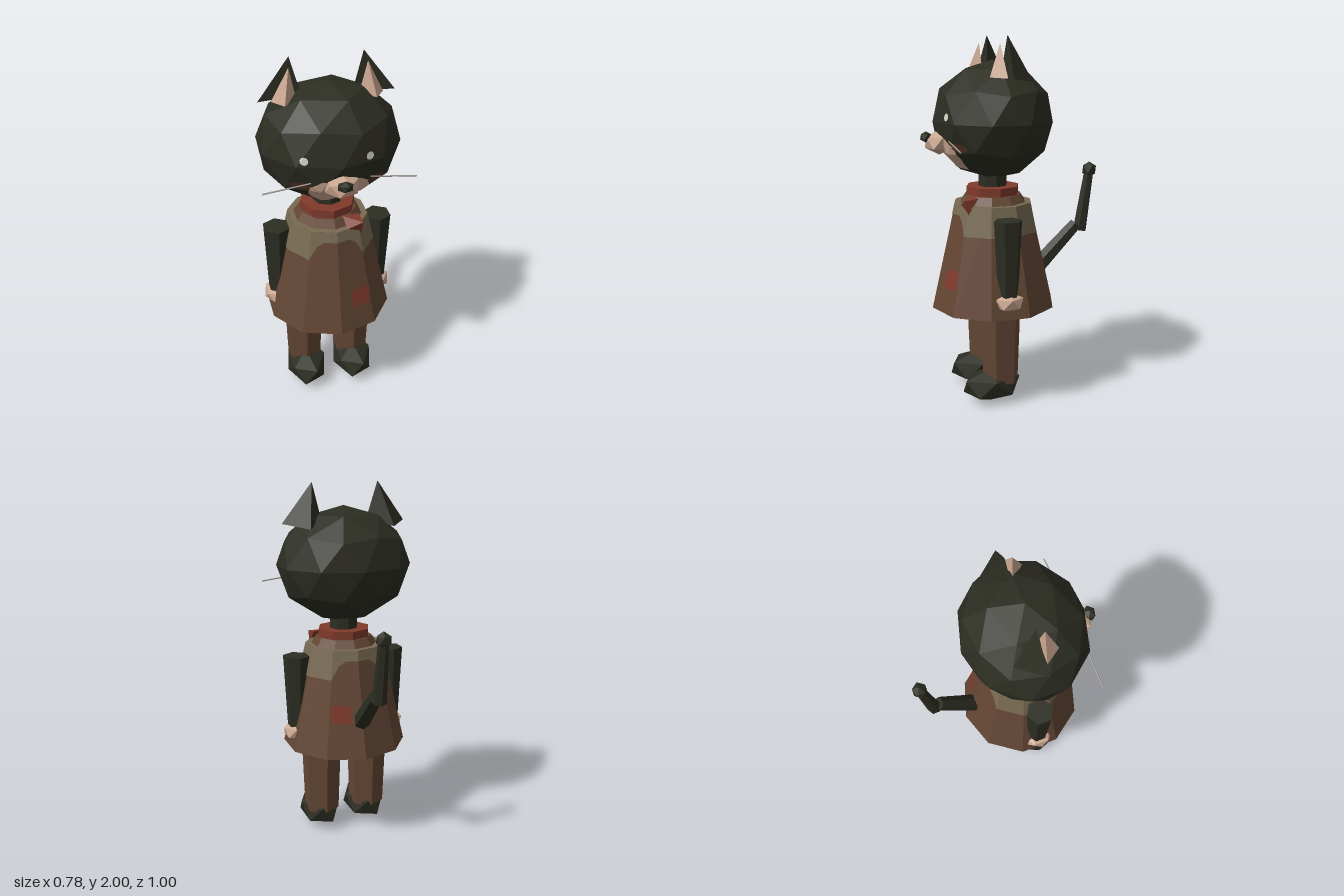
import * as THREE from 'three';
import { ConvexGeometry } from 'three/addons/geometries/ConvexGeometry.js';

const paint = (name, color, side = THREE.FrontSide) => {
  const m = new THREE.MeshStandardMaterial({ color, flatShading: true, side });
  m.name = name;
  return m;
};

const CZ = 0.11; // depth of the body axis

export function createModel() {
  const group = new THREE.Group();
  const fur = paint('dark fur', 0x2c2d22);
  const skin = paint('pale skin', 0xcba790, THREE.DoubleSide);
  const cloth = paint('brown cloth', 0x634634);
  const tan = paint('tan cloth', 0x776a52, THREE.DoubleSide);
  const red = paint('red cloth', 0x803a2b, THREE.DoubleSide);
  const cheek = paint('cheek brown', 0x553022, THREE.DoubleSide);
  const eyeWhite = paint('eye cream', 0xd0d2c0, THREE.DoubleSide);
  const whiskerGrey = paint('whisker grey', 0x9b9b90);

  const add = (name, geometry, material, x = 0, y = 0, z = 0) => {
    const mesh = new THREE.Mesh(geometry, material);
    mesh.name = name;
    mesh.position.set(x, y, z);
    group.add(mesh);
    return mesh;
  };

  // Faceted ball with a vertex at each pole
  const ball = (name, material, [x, y, z], [rx, ry, rz], detail = 0) => {
    const g = new THREE.IcosahedronGeometry(1, detail);
    g.rotateX(-Math.atan2(0.8507, 0.5257)).rotateY(Math.PI / 2).scale(rx, ry, rz);
    g.computeVertexNormals();
    return add(name, g, material, x, y, z);
  };

  // Upright tapered prism between two heights
  const prism = (name, material, x, z, y0, y1, r0, r1, sides) =>
    add(name, new THREE.CylinderGeometry(r1, r0, y1 - y0, sides), material, x, (y0 + y1) / 2, z);

  // Tapered rod between two points
  const rod = (name, material, a, b, ra, rb, sides = 6) => {
    const p = new THREE.Vector3(...a), q = new THREE.Vector3(...b);
    const d = q.clone().sub(p);
    const mesh = add(name, new THREE.CylinderGeometry(rb, ra, d.length(), sides), material);
    mesh.position.copy(p).add(q).multiplyScalar(0.5);
    mesh.quaternion.setFromUnitVectors(new THREE.Vector3(0, 1, 0), d.normalize());
    return mesh;
  };

  // Sheet of quads from a function of u and v
  const sheet = (name, material, nu, nv, fn) => {
    const pos = [];
    const put = (i, j) => pos.push(...fn(i / nu, j / nv));
    for (let i = 0; i < nu; i++) {
      for (let j = 0; j < nv; j++) {
        put(i, j); put(i + 1, j); put(i + 1, j + 1);
        put(i, j); put(i + 1, j + 1); put(i, j + 1);
      }
    }
    const g = new THREE.BufferGeometry();
    g.setAttribute('position', new THREE.Float32BufferAttribute(pos, 3));
    g.computeVertexNormals();
    return add(name, g, material);
  };

  // Painted patch laid on a mesh from the front (1) or the back (-1)
  const ray = new THREE.Raycaster();
  const patch = (name, material, target, nu, nv, outline, dir = 1) => {
    target.updateMatrixWorld(true);
    return sheet(name, material, nu, nv, (u, v) => {
      const [x, y] = outline(dir > 0 ? u : 1 - u, v);
      ray.set(new THREE.Vector3(x, y, 3 * dir), new THREE.Vector3(0, 0, -dir));
      const hit = ray.intersectObject(target)[0];
      return [x, y, (hit ? hit.point.z : CZ) + 0.005 * dir];
    });
  };
  const oval = (cx, cy, rx, ry) => (u, v) => {
    const t = (v - 0.5) * Math.PI;
    return [cx + (2 * u - 1) * rx * Math.cos(t), cy + ry * Math.sin(t)];
  };
  const rect = (x0, x1, y0, y1) => (u, v) => [x0 + (x1 - x0) * u, y0 + (y1 - y0) * v];

  // Head, muzzle and nose
  const head = ball('head', fur, [0, 1.555, CZ], [0.374, 0.318, 0.328], 1);
  ball('muzzle', skin, [0, 1.445, 0.405], [0.095, 0.066, 0.085]);
  ball('nose', fur, [0, 1.475, 0.475], [0.043, 0.03, 0.034]);

  // Pale chin, with its half width given at even steps of height
  const widths = [0.08, 0.125, 0.148, 0.155, 0.15, 0.1];
  patch('chinPatch', skin, head, 24, 20, (u, v) => {
    const k = Math.min(Math.floor(v * 5), 4);
    const w = THREE.MathUtils.lerp(widths[k], widths[k + 1], v * 5 - k);
    return [(2 * u - 1) * w, 1.3 + 0.17 * v];
  });

  // Coat, legs' cover and collar
  const Y0 = 0.53, Y1 = 1.11, R0 = 0.348, R1 = 0.213;
  const coat = prism('coat', cloth, 0, CZ, Y0, Y1, R0, R1, 10);
  prism('collar', cloth, 0, CZ, 1.11, 1.155, 0.185, 0.155, 10);

  // Tan shoulder yoke that follows the ten coat panels, notched front and back
  const coatPoint = (theta, y, off) => {
    const step = Math.PI / 5;
    const local = theta - Math.floor(theta / step + 1e-6) * step - step / 2;
    const r = (R0 + (R1 - R0) * (y - Y0) / (Y1 - Y0)) * Math.cos(step / 2) / Math.cos(local) + off;
    return [r * Math.sin(theta), y, CZ + r * Math.cos(theta)];
  };
  sheet('shoulderYoke', tan, 40, 1, (u, v) => {
    const theta = u * Math.PI * 2;
    const s = Math.abs(Math.sin(theta));
    const low = s < 0.4 ? 1.055 : s < 0.5 ? 1.03 : 0.955;
    return coatPoint(theta, low + (Y1 + 0.002 - low) * v, 0.004);
  });
  const yokeTop = new THREE.CircleGeometry(R1 + 0.003, 10, Math.PI / 2).rotateX(-Math.PI / 2);
  add('yokeTop', yokeTop, tan, 0, Y1 + 0.002, CZ);

  // Sewn patches
  patch('frontPatch', red, coat, 6, 6, rect(0.07, 0.175, 0.665, 0.765));
  patch('backPatch', red, coat, 6, 6, rect(0.06, 0.165, 0.725, 0.82), -1);

  // Neck and scarf
  prism('neck', fur, 0, CZ, 1.12, 1.3, 0.08, 0.08, 8);
  prism('scarf', red, 0, CZ, 1.145, 1.2, 0.148, 0.148, 8);
  add('scarfEnd', new ConvexGeometry([
    [0.05, 1.16, 0.25], [0.14, 1.155, 0.23], [0.06, 1.11, 0.305], [0.145, 1.145, 0.31],
    [0.145, 1.07, 0.285], [0.11, 1.07, 0.285],
  ].map((p) => new THREE.Vector3(...p))), red);

  // Paired parts
  for (const s of [1, -1]) {
    const side = s > 0 ? 'left' : 'right';
    const hull = (name, material, points) => add(side + name,
      new ConvexGeometry(points.map(([x, y, z]) => new THREE.Vector3(s * x, y, z))), material);

    hull('Ear', fur, [[0.35, 1.785, 0.1], [0.235, 1.765, -0.04], [0.13, 1.8, 0.1], [0.187, 2, 0.083]]);
    hull('InnerEar', skin, [[0.285, 1.785, 0.11], [0.23, 1.79, 0.19], [0.16, 1.79, 0.115], [0.197, 1.96, 0.125]]);

    patch(side + 'Eye', eyeWhite, head, 6, 6, oval(s * 0.162 - 0.02, 1.588, 0.02, 0.02));
    patch(side + 'CheekMark', cheek, head, 10, 6, oval(s * 0.19, 1.432, 0.05, 0.022));
    rod(side + 'Whisker', whiskerGrey, [s * 0.15, 1.465, 0.387], [s * 0.39, 1.437, 0.387], 0.004, 0.004, 5);

    prism(side + 'Arm', fur, s * 0.28, CZ, 0.65, 1.058, 0.057, 0.077, 6);
    ball(side + 'Hand', skin, [s * 0.293, 0.617, CZ], [0.073, 0.055, 0.088]);
    prism(side + 'Leg', cloth, s * 0.14, CZ, 0.12, 0.58, 0.1, 0.117, 6);
    ball(side + 'Foot', fur, [s * 0.14, 0.098, 0.163], [0.122, 0.097, 0.18]);
  }

  // Tail in two joined rods with a ball tip
  rod('tailBase', fur, [0, 0.7, -0.14], [0, 0.945, -0.385], 0.05, 0.038);
  rod('tailUpper', fur, [0, 0.91, -0.41], [0, 1.25, -0.462], 0.04, 0.028);
  ball('tailTip', fur, [0, 1.257, -0.463], [0.045, 0.045, 0.043]);

  return group;
}
